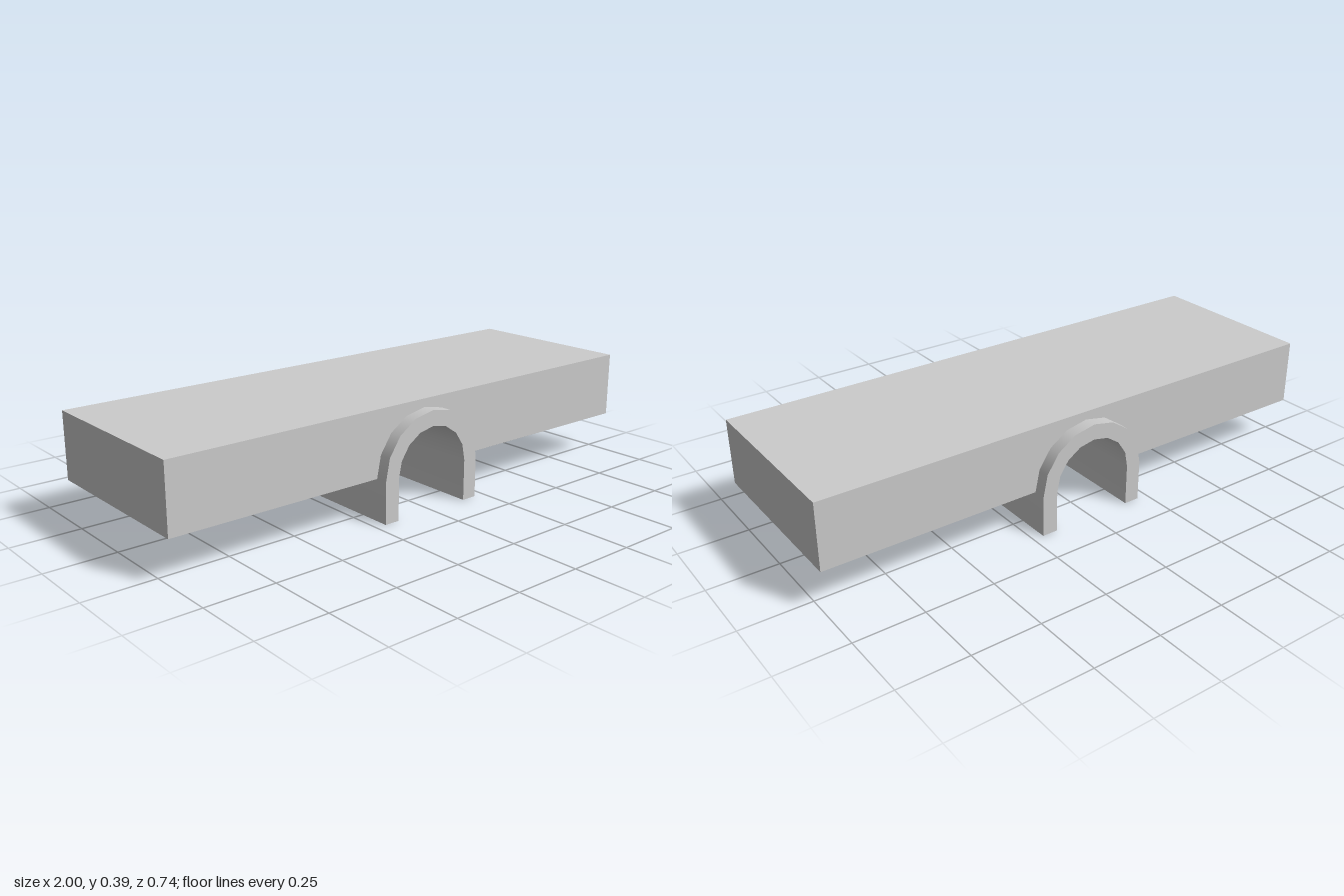
import * as THREE from 'three';
import { toCreasedNormals } from 'three/addons/utils/BufferGeometryUtils.js';

const SPRING = 0.15;  // height where the arch starts to curve
const OUTER = 0.21, INNER = 0.153;
const SEGMENTS = 8;

// Points of a half circle, running from +x over the top to -x
function halfCircle(radius) {
  return Array.from({ length: SEGMENTS + 1 }, (_, i) => {
    const a = (i / SEGMENTS) * Math.PI;
    return new THREE.Vector2(radius * Math.cos(a), SPRING + radius * Math.sin(a));
  });
}

// Extrudes an outline along z, centred on z = 0
function extruded(name, points, depth, material) {
  const geometry = new THREE.ExtrudeGeometry(new THREE.Shape(points), { depth, bevelEnabled: false });
  geometry.translate(0, 0, -depth / 2);
  const mesh = new THREE.Mesh(toCreasedNormals(geometry, 0.6), material);
  mesh.name = name;
  return mesh;
}

export function createModel() {
  const group = new THREE.Group();
  group.name = 'archBridge';
  const material = new THREE.MeshStandardMaterial({ color: 0xcccccc });
  const v = (x, y) => new THREE.Vector2(x, y);

  // Flat deck, notched underneath where the arch passes through
  group.add(extruded('deck', [
    v(1, SPRING), v(1, 0.39), v(-1, 0.39), v(-1, SPRING),
    ...halfCircle(OUTER).reverse(),
  ], 0.65, material));

  // Arch with straight legs, standing slightly proud of the deck at both ends
  group.add(extruded('archTunnel', [
    v(OUTER, 0), ...halfCircle(OUTER), v(-OUTER, 0),
    v(-INNER, 0), ...halfCircle(INNER).reverse(), v(INNER, 0),
  ], 0.74, material));

  return group;
}
